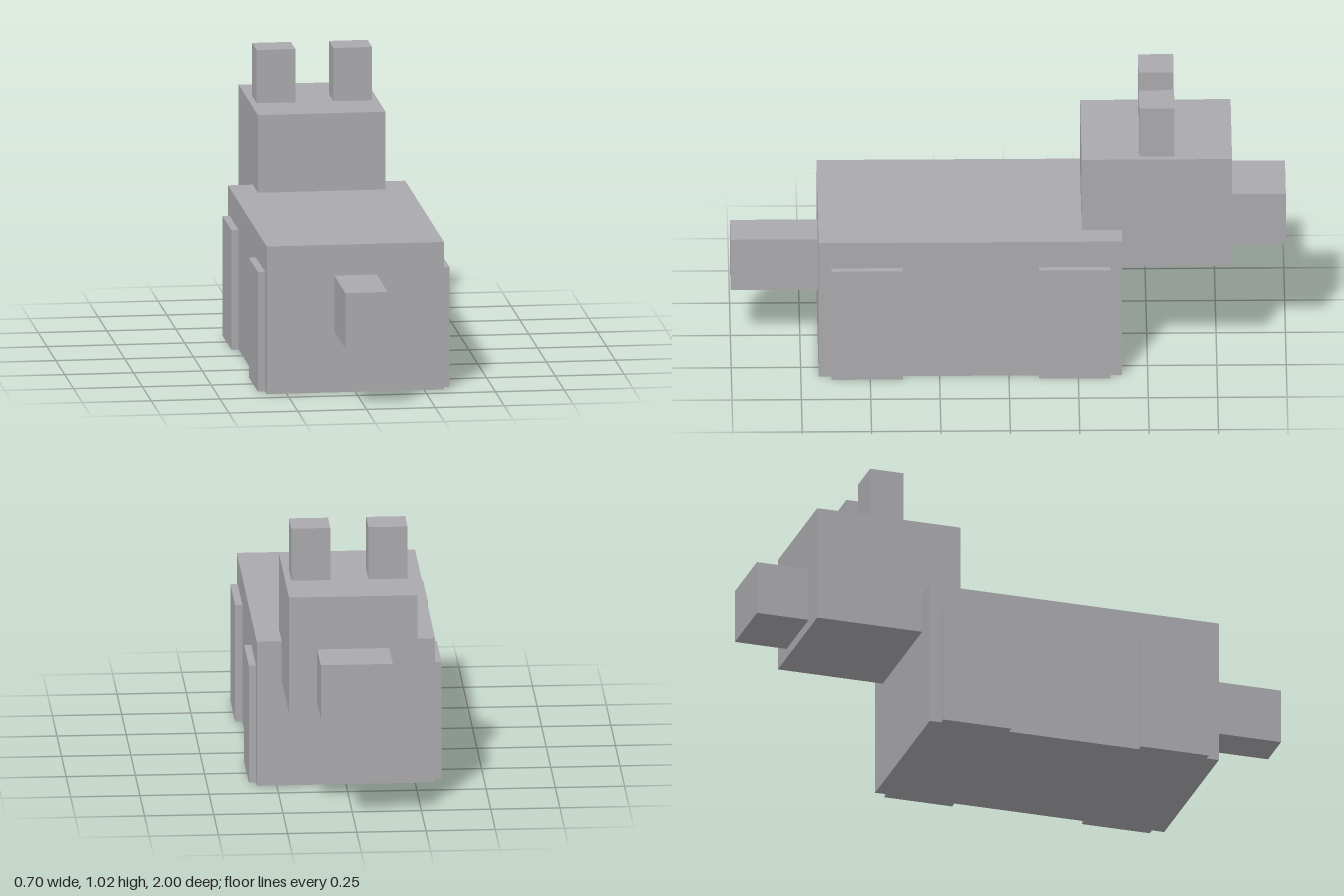
import * as THREE from 'three';

const grey = new THREE.MeshStandardMaterial({ color: 0xaaaaae });
grey.name = 'grey';

// Box given by its lower and upper limits on each axis
function block(name, [x0, x1], [y0, y1], [z0, z1]) {
  const mesh = new THREE.Mesh(new THREE.BoxGeometry(x1 - x0, y1 - y0, z1 - z0), grey);
  mesh.position.set((x0 + x1) / 2, (y0 + y1) / 2, (z0 + z1) / 2);
  mesh.name = name;
  return mesh;
}

export function createModel() {
  const group = new THREE.Group();
  group.name = 'blockAnimal';

  // Parts on the centre line; the head points to -z
  group.add(
    block('body', [-0.322, 0.322], [0, 0.543], [-0.408, 0.686]),
    block('head', [-0.232, 0.232], [0.394, 0.829], [-0.805, -0.263]),
    block('snout', [-0.13, 0.13], [0.43, 0.632], [-1, -0.805]),
    block('tail', [-0.077, 0.077], [0.225, 0.43], [0.686, 1]),
  );

  // Mirrored ears and legs
  for (const side of [-1, 1]) {
    const label = side > 0 ? 'left' : 'right';
    const span = (a, b) => (side > 0 ? [a, b] : [-b, -a]);
    group.add(
      block(label + 'Ear', span(0.069, 0.21), [0.829, 1.025], [-0.598, -0.471]),
      block(label + 'HeadEndLeg', span(0.322, 0.348), [0, 0.44], [-0.365, -0.108]),
      block(label + 'TailEndLeg', span(0.322, 0.348), [0, 0.44], [0.383, 0.64]),
    );
  }
  return group;
}
